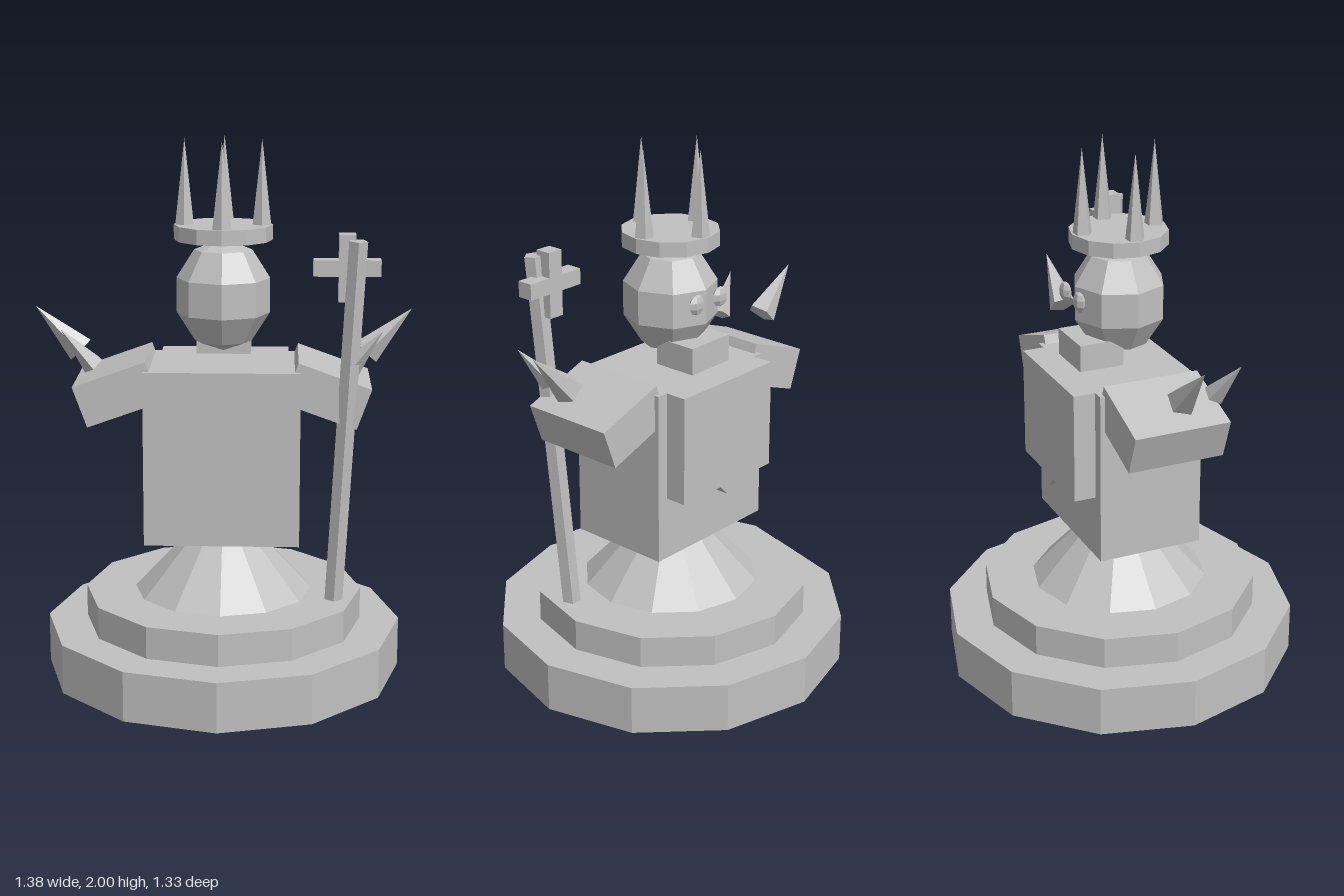
import * as THREE from 'three';

export function createModel() {
  const model = new THREE.Group();
  model.name = 'chessKing';
  const stone = new THREE.MeshStandardMaterial({ color: 0xc0c0c0, flatShading: true });
  stone.name = 'grey stone';

  function add(name, geometry, x = 0, y = 0, z = 0) {
    const mesh = new THREE.Mesh(geometry, stone);
    mesh.name = name;
    mesh.position.set(x, y, z);
    model.add(mesh);
    return mesh;
  }
  const box = (name, w, h, d, x, y, z) => add(name, new THREE.BoxGeometry(w, h, d), x, y, z);

  // Upright round part between two heights
  function drum(name, rTop, rBottom, y0, y1, sides, x = 0, z = 0) {
    return add(name, new THREE.CylinderGeometry(rTop, rBottom, y1 - y0, sides), x, (y0 + y1) / 2, z);
  }

  // Round part between any two points
  function rod(name, from, to, rFrom, rTo, sides) {
    const a = new THREE.Vector3(...from), b = new THREE.Vector3(...to);
    const dir = b.clone().sub(a);
    const mesh = add(name, new THREE.CylinderGeometry(rTo, rFrom, dir.length(), sides));
    mesh.position.copy(a).add(b).multiplyScalar(0.5);
    mesh.quaternion.setFromUnitVectors(new THREE.Vector3(0, 1, 0), dir.normalize());
    return mesh;
  }

  // Stepped base and skirt
  drum('baseLower', 0.667, 0.667, 0, 0.187, 12);
  drum('baseUpper', 0.52, 0.52, 0.187, 0.307, 12);
  drum('skirt', 0.06, 0.333, 0.307, 0.6, 12);

  // Torso and the pointed plate on its far side
  box('torso', 0.57, 0.65, 0.4, 0, 0.855, 0);
  const plate = new THREE.Shape([
    [-0.24, 1.18], [-0.24, 0.77], [-0.04, 0.77], [0, 0.73],
    [0.04, 0.77], [0.24, 0.77], [0.24, 1.18],
  ].map(([x, y]) => new THREE.Vector2(x, y)));
  add('chestPlate', new THREE.ExtrudeGeometry(plate, { depth: 0.085, bevelEnabled: false }), 0, 0, -0.282);

  // Head with eyes
  box('chin', 0.2, 0.1, 0.17, 0, 1.255, -0.11);
  add('head', new THREE.SphereGeometry(0.18, 8, 5), 0, 1.431, 0).scale.y = 1.15;

  // Mirrored eyes, arms and claws
  for (const [s, side] of [[1, 'left'], [-1, 'right']]) {
    add(side + 'Eye', new THREE.SphereGeometry(0.038, 6, 5), s * 0.063, 1.458, -0.182).scale.z = 0.5;
    box(side + 'Arm', 0.282, 0.158, 0.365, s * 0.382, 1.093, 0).rotation.z = -s * 0.345;
    rod(side + 'ClawLarge', [s * 0.525, 1.225, 0], [s * 0.69, 1.385, 0], 0.056, 0, 5);
    rod(side + 'ClawSmall', [s * 0.463, 1.2, 0.158], [s * 0.575, 1.338, 0.2], 0.042, 0, 5);
  }

  // Crown band and spikes
  drum('crownBand', 0.18, 0.18, 1.635, 1.69, 12);
  for (const [x, z] of [[0.14, 0], [-0.14, 0], [0, 0.14], [0, -0.14]]) {
    drum('crownSpike', 0, 0.036, 1.685, 2, 5, x, z);
  }

  // Leaning staff with cross
  rod('staff', [0.415, 0.3, 0.125], [0.482, 1.66, 0.203], 0.035, 0.035, 5);
  box('crossUpright', 0.06, 0.24, 0.06, 0.445, 1.56, 0.163);
  box('crossBar', 0.24, 0.058, 0.06, 0.445, 1.56, 0.163);

  return model;
}
